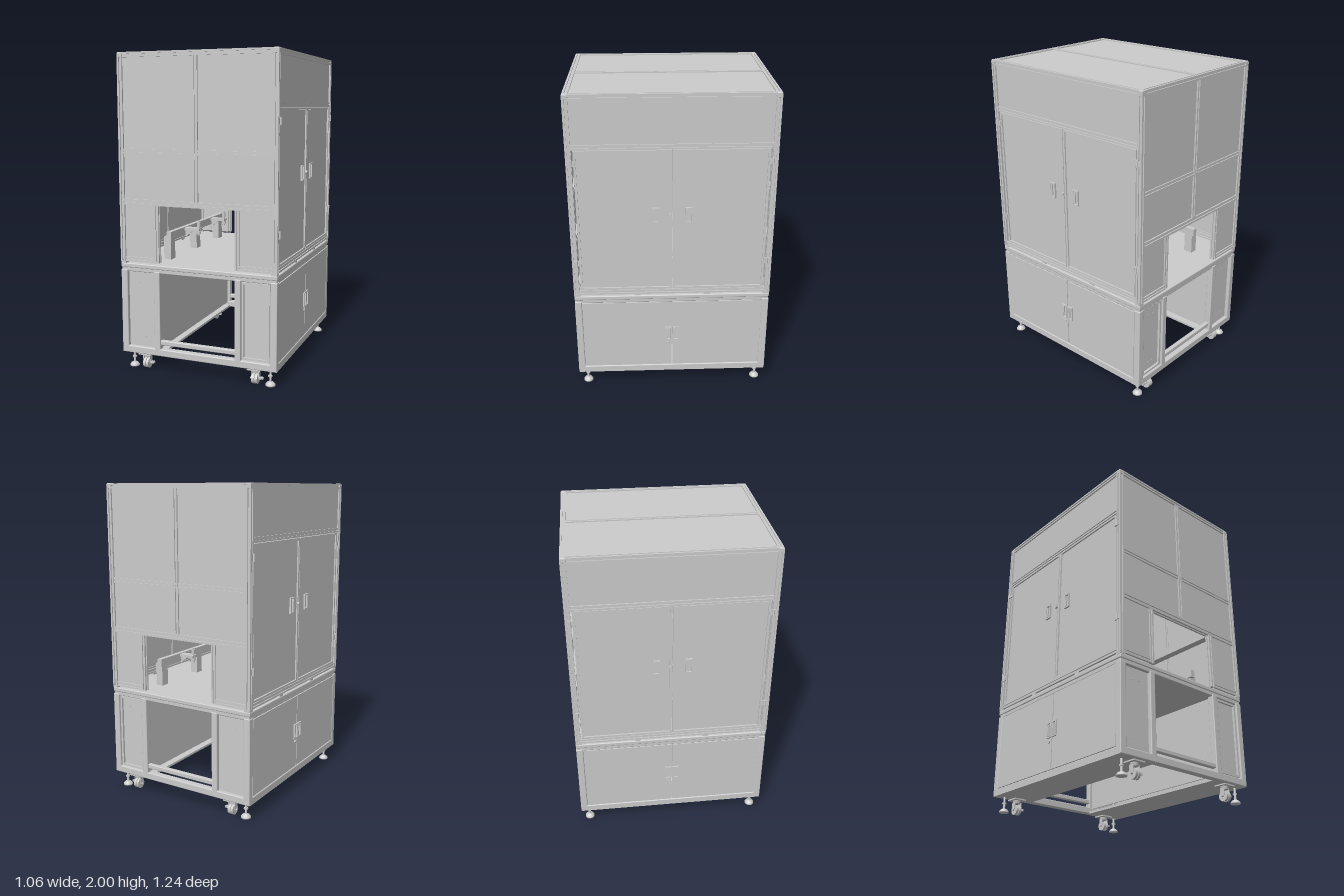
import * as THREE from 'three';
import { RoundedBoxGeometry } from 'three/addons/geometries/RoundedBoxGeometry.js';

const mat = new THREE.MeshStandardMaterial({ color: 0xcccccc });

function add(parent, name, geo, pos = [0, 0, 0]) {
  const m = new THREE.Mesh(geo, mat);
  m.name = name;
  m.position.set(...pos);
  parent.add(m);
  return m;
}
const box = (p, name, pos, size) => add(p, name, new THREE.BoxGeometry(...size), pos);
const cyl = (p, name, pos, r0, r1, h, seg = 20) => add(p, name, new THREE.CylinderGeometry(r0, r1, h, seg), pos);
const tube = (p, name, pos, size) => add(p, name, new RoundedBoxGeometry(...size, 2, 0.006), pos);

// Slotted aluminium profile, extruded along the longest side of the given size
function beam(p, name, pos, size) {
  const axis = size.indexOf(Math.max(...size));
  const [w, h] = axis === 0 ? [size[2], size[1]] : axis === 1 ? [size[0], size[2]] : [size[0], size[1]];
  const pts = [];
  for (let k = 0; k < 4; k++) {
    const c = Math.round(Math.cos(k * Math.PI / 2)), s = Math.round(Math.sin(k * Math.PI / 2));
    for (const [x, y] of [[0.5, 0.5], [0.13, 0.5], [0.13, 0.3], [-0.13, 0.3], [-0.13, 0.5]])
      pts.push(new THREE.Vector2((x * c - y * s) * w, (x * s + y * c) * h));
  }
  const geo = new THREE.ExtrudeGeometry(new THREE.Shape(pts), { depth: size[axis], bevelEnabled: false });
  geo.translate(0, 0, -size[axis] / 2);
  if (axis === 0) geo.rotateY(Math.PI / 2);
  if (axis === 1) geo.rotateX(-Math.PI / 2);
  return add(p, name, geo, pos);
}

// Rectangular frame in the xy plane with an open middle
function frameGeo(w, h, t, depth) {
  const rect = (C, a, b) => new C([[-a, -b], [a, -b], [a, b], [-a, b]].map(q => new THREE.Vector2(...q)));
  const s = rect(THREE.Shape, w / 2, h / 2);
  s.holes.push(rect(THREE.Path, w / 2 - t, h / 2 - t));
  return new THREE.ExtrudeGeometry(s, { depth, bevelEnabled: false }).translate(0, 0, -depth / 2);
}

// Recessed pull handle, facing +z
function handle(p, pos, w, h) {
  const g = new THREE.Group();
  g.name = 'handle';
  g.position.set(...pos);
  p.add(g);
  add(g, 'handleRim', frameGeo(w, h, 0.008, 0.012));
  box(g, 'handleGrip', [-w * 0.2, 0, 0], [w * 0.25, h * 0.75, 0.008]);
}

// Swivel caster and levelling foot at one corner
function cornerSupport(sx, sz) {
  const g = new THREE.Group();
  g.name = 'cornerSupport';
  const x = 0.37 * sx, z = 0.565 * sz, fx = 0.465 * sx;
  box(g, 'casterPlate', [x, 0.096, z], [0.085, 0.008, 0.085]);
  cyl(g, 'casterSwivel', [x, 0.083, z], 0.026, 0.022, 0.02);
  for (const s of [-1, 1]) box(g, 'casterFork', [x + s * 0.023, 0.058, z], [0.005, 0.045, 0.03]);
  for (const s of [-1, 1]) cyl(g, 'casterWheel', [x + s * 0.01, 0.032, z], 0.032, 0.032, 0.017, 24).rotation.z = Math.PI / 2;
  cyl(g, 'casterAxle', [x, 0.032, z], 0.007, 0.007, 0.065, 12).rotation.z = Math.PI / 2;
  box(g, 'casterBrake', [x + 0.035, 0.038, z], [0.03, 0.012, 0.018]);
  const foot = [[0, 0], [0.031, 0], [0.031, 0.008], [0.022, 0.02], [0.011, 0.026], [0.007, 0.028], [0.007, 0.1], [0, 0.1]];
  add(g, 'levellingFoot', new THREE.LatheGeometry(foot.map(q => new THREE.Vector2(...q)), 24), [fx, 0, z]);
  cyl(g, 'footNut', [fx, 0.06, z], 0.014, 0.014, 0.01, 6);
  return g;
}

// Lower cabinet: tubular frame, side bays and a see-through middle
function baseCabinet() {
  const g = new THREE.Group();
  g.name = 'baseCabinet';
  for (const s of [-1, 1]) {
    tube(g, 'bottomCrossBeam', [0, 0.127, s * 0.597], [1.04, 0.045, 0.046]);
    tube(g, 'bottomSideBeam', [s * 0.497, 0.127, 0], [0.046, 0.045, 1.24]);
    tube(g, 'lowerRail', [0, 0.19, s * 0.595], [0.52, 0.03, 0.03]);
    box(g, 'bayFloor', [s * 0.385, 0.112, 0], [0.27, 0.015, 1.23]);
    box(g, 'bayInnerWall', [s * 0.275, 0.39, 0], [0.008, 0.5, 1.16]);
    for (const z of [-1, 1]) {
      tube(g, 'cornerPost', [s * 0.498, 0.395, z * 0.598], [0.044, 0.51, 0.044]);
      tube(g, 'innerPost', [s * 0.27, 0.395, z * 0.598], [0.04, 0.51, 0.044]);
      box(g, 'bayPanel', [s * 0.383, 0.395, z * 0.592], [0.19, 0.49, 0.008]);
      for (const y of [0.22, 0.57]) for (const dx of [-0.02, 0.02])
        cyl(g, 'panelScrew', [s * 0.383 + dx, y, z * 0.597], 0.004, 0.004, 0.004, 10).rotation.x = Math.PI / 2;
      if (s > 0) add(g, 'bayPanelFrame', frameGeo(0.178, 0.48, 0.014, 0.016), [0.383, 0.395, z * 0.602]);
    }
  }
  // Table slab with a stepped edge
  tube(g, 'tableFrame', [0, 0.653, 0], [1.03, 0.03, 1.23]);
  tube(g, 'tableTop', [0, 0.677, 0], [1.04, 0.028, 1.24]);
  return g;
}

// Doors, hinges and upper panel of one long side, built facing +z
function sideFittings() {
  const g = new THREE.Group();
  g.name = 'sideFittings';
  for (const s of [-1, 1]) {
    box(g, 'lowerDoor', [s * 0.289, 0.395, 0.51], [0.572, 0.484, 0.016]);
    handle(g, [s * 0.025, 0.4, 0.522], 0.042, 0.1);
    box(g, 'upperDoor', [s * 0.288, 1.2, 0.501], [0.55, 0.9, 0.01]);
    add(g, 'upperDoorFrame', frameGeo(0.573, 0.93, 0.014, 0.022), [s * 0.289, 1.2, 0.504]);
    handle(g, [s * 0.1, 1.25, 0.516], 0.045, 0.1);
    for (const y of [0.93, 1.59]) {
      cyl(g, 'hingePin', [s * 0.59, y, 0.523], 0.007, 0.007, 0.045, 12);
      box(g, 'hingeLeaf', [s * 0.588, y, 0.518], [0.04, 0.035, 0.006]);
    }
  }
  for (const [x, y] of [[-0.025, 0.328], [-0.012, 1.25]])
    cyl(g, 'doorLock', [x, y, 0.52], 0.01, 0.01, 0.012, 16).rotation.x = Math.PI / 2;
  box(g, 'upperSidePanel', [0, 1.835, 0.506], [1.18, 0.27, 0.008]);
  beam(g, 'doorHeadBeam', [0, 1.685, 0.502], [1.18, 0.032, 0.032]);
  beam(g, 'doorSillBeam', [0, 0.718, 0.502], [1.18, 0.032, 0.032]);
  beam(g, 'topSideBeam', [0, 1.982, 0.502], [1.18, 0.034, 0.034]);
  return g;
}

// Panels and profiles of the front or back, built facing +z
function endWall() {
  const g = new THREE.Group();
  g.name = 'endWall';
  beam(g, 'topBeam', [0, 1.983, 0.602], [0.98, 0.032, 0.034]);
  beam(g, 'middleBeam', [0, 1.397, 0.602], [0.98, 0.032, 0.03]);
  beam(g, 'openingHeadBeam', [0, 1.082, 0.602], [0.98, 0.036, 0.034]);
  beam(g, 'centrePost', [0, 1.535, 0.603], [0.032, 0.87, 0.032]);
  for (const s of [-1, 1]) {
    box(g, 'upperPanel', [s * 0.25, 1.69, 0.606], [0.48, 0.56, 0.008]);
    box(g, 'lowerPanel', [s * 0.25, 1.24, 0.606], [0.48, 0.29, 0.008]);
    beam(g, 'openingPost', [s * 0.266, 0.885, 0.602], [0.03, 0.362, 0.032]);
    beam(g, 'sideSill', [s * 0.385, 0.718, 0.602], [0.22, 0.032, 0.032]);
    box(g, 'sidePanel', [s * 0.385, 0.9, 0.606], [0.22, 0.34, 0.008]);
  }
  return g;
}

// Fixtures standing in the work space
function workFixtures() {
  const g = new THREE.Group();
  g.name = 'workFixtures';
  for (const s of [-1, 1]) {
    box(g, 'supportRail', [s * 0.265, 0.85, 0], [0.03, 0.05, 0.9]);
    for (const z of [-0.4, 0, 0.4]) box(g, 'railColumn', [s * 0.285, 0.765, z], [0.05, 0.15, 0.06]);
    for (const z of [-0.22, 0.22]) {
      box(g, 'bracketArm', [s * 0.2, 0.862, z], [0.11, 0.018, 0.05]);
      const rib = new THREE.Shape([[0, 0], [0.06, 0], [0, -0.05]].map(q => new THREE.Vector2(...q)));
      const m = add(g, 'bracketRib', new THREE.ExtrudeGeometry(rib, { depth: 0.01, bevelEnabled: false }), [s * 0.252, 0.855, z]);
      if (s > 0) m.rotation.y = Math.PI;
      cyl(g, 'locatingPin', [s * 0.158, 0.87, z], 0.008, 0.008, 0.1, 14);
      cyl(g, 'pinCollar', [s * 0.158, 0.85, z], 0.016, 0.016, 0.035, 14);
      cyl(g, 'pinHead', [s * 0.158, 0.895, z], 0.012, 0.012, 0.03, 14);
    }
    box(g, 'gantryBeam', [s * 0.3, 1.1, 0], [0.05, 0.05, 1.16]);
  }
  // Overhead carriage with two tool heads
  box(g, 'gantryBridge', [0, 1.1, 0], [0.6, 0.06, 0.1]);
  box(g, 'toolPlate', [-0.14, 1.05, 0], [0.2, 0.03, 0.16]);
  for (const x of [-0.195, -0.075]) {
    box(g, 'toolBody', [x, 1.025, 0], [0.05, 0.03, 0.08]);
    cyl(g, 'toolTip', [x, 1.0, 0], 0.018, 0.014, 0.035);
  }
  return g;
}

export function createModel() {
  const model = new THREE.Group();
  model.name = 'machineEnclosure';
  model.add(baseCabinet(), workFixtures());

  const hood = new THREE.Group();
  hood.name = 'hood';
  model.add(hood);
  for (const s of [-1, 1]) {
    const side = sideFittings(), end = endWall();
    side.rotation.y = s * Math.PI / 2;
    if (s < 0) end.rotation.y = Math.PI;
    hood.add(side, end);
    box(hood, 'roofPanel', [s * 0.25, 1.988, 0], [0.475, 0.008, 1.18]);
    for (const z of [-1, 1]) {
      model.add(cornerSupport(s, z));
      beam(hood, 'cornerPost', [s * 0.503, 1.346, z * 0.603], [0.034, 1.29, 0.034]);
      tube(hood, 'cornerCap', [s * 0.502, 1.983, z * 0.602], [0.036, 0.034, 0.036]);
    }
    // Pads lifting the hood clear of the table
    for (const z of [-0.6, -0.22, 0.22, 0.6]) box(hood, 'hoodPad', [s * 0.5, 0.697, z], [0.035, 0.014, 0.04]);
  }
  beam(hood, 'roofCentreBeam', [0, 1.982, 0], [0.032, 0.034, 1.18]);
  return model;
}
